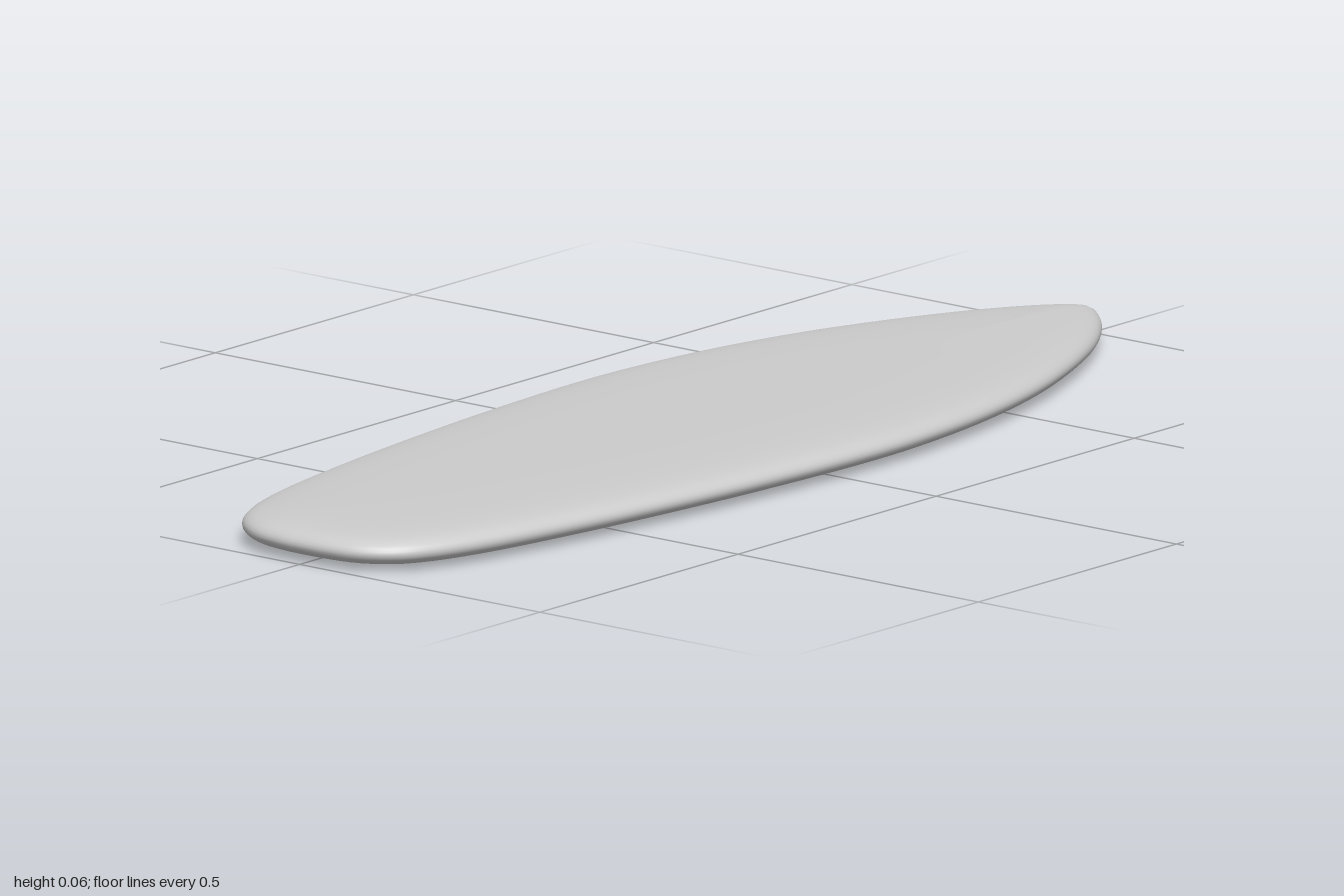
import * as THREE from 'three';

// Half outline of the board: [x, half width], nose to tail
const OUTLINE = [
  [1, 0], [0.97, 0.043], [0.9, 0.1], [0.8, 0.158], [0.6, 0.24], [0.4, 0.291], [0.2, 0.316],
  [0.05, 0.32], [-0.2, 0.307], [-0.4, 0.288], [-0.6, 0.262], [-0.8, 0.225], [-0.9, 0.192],
  [-0.95, 0.161], [-0.985, 0.11], [-0.998, 0.05], [-1, 0],
];

// Rounded rail: [inset from the edge, half thickness]
const RAIL = [
  [0, 0], [0.001, 0.005], [0.004, 0.0095], [0.009, 0.014], [0.018, 0.0185], [0.03, 0.0215],
  [0.048, 0.0243], [0.07, 0.0263], [0.1, 0.028], [0.14, 0.0293], [0.19, 0.0302], [1, 0.0305],
];
const MID = 0.0305;

function boardGeometry(samples = 240) {
  const mirrored = OUTLINE.slice(1, -1).reverse().map(([x, z]) => [x, -z]);
  const points = [...OUTLINE, ...mirrored].map(([x, z]) => new THREE.Vector3(x, 0, z));
  const edge = new THREE.CatmullRomCurve3(points, true, 'centripetal').getSpacedPoints(samples).slice(0, samples);

  // Rings run from the bottom centre line, around the rail, to the top centre line
  const rings = [
    ...RAIL.slice(1).reverse().map(([d, h]) => [d, -h]),
    ...RAIL,
  ];
  const positions = [];
  const indices = [];
  for (const [inset, h] of rings) {
    for (const p of edge) {
      const spine = new THREE.Vector3(p.x * 0.78, 0, 0);
      const q = p.clone().lerp(spine, Math.min(1, inset / p.distanceTo(spine)));
      positions.push(q.x, MID + h, q.z);
    }
  }
  for (let r = 0; r < rings.length - 1; r++) {
    for (let i = 0; i < samples; i++) {
      const a = r * samples + i;
      const b = r * samples + (i + 1) % samples;
      indices.push(a, a + samples, b, b, a + samples, b + samples);
    }
  }
  const geometry = new THREE.BufferGeometry();
  geometry.setAttribute('position', new THREE.Float32BufferAttribute(positions, 3));
  geometry.setIndex(indices);
  geometry.computeVertexNormals();
  return geometry;
}

export function createModel() {
  const group = new THREE.Group();
  group.name = 'surfboard';
  const board = new THREE.Mesh(boardGeometry(), new THREE.MeshStandardMaterial({ color: 0xcccccc }));
  board.name = 'board';
  group.add(board);
  return group;
}
